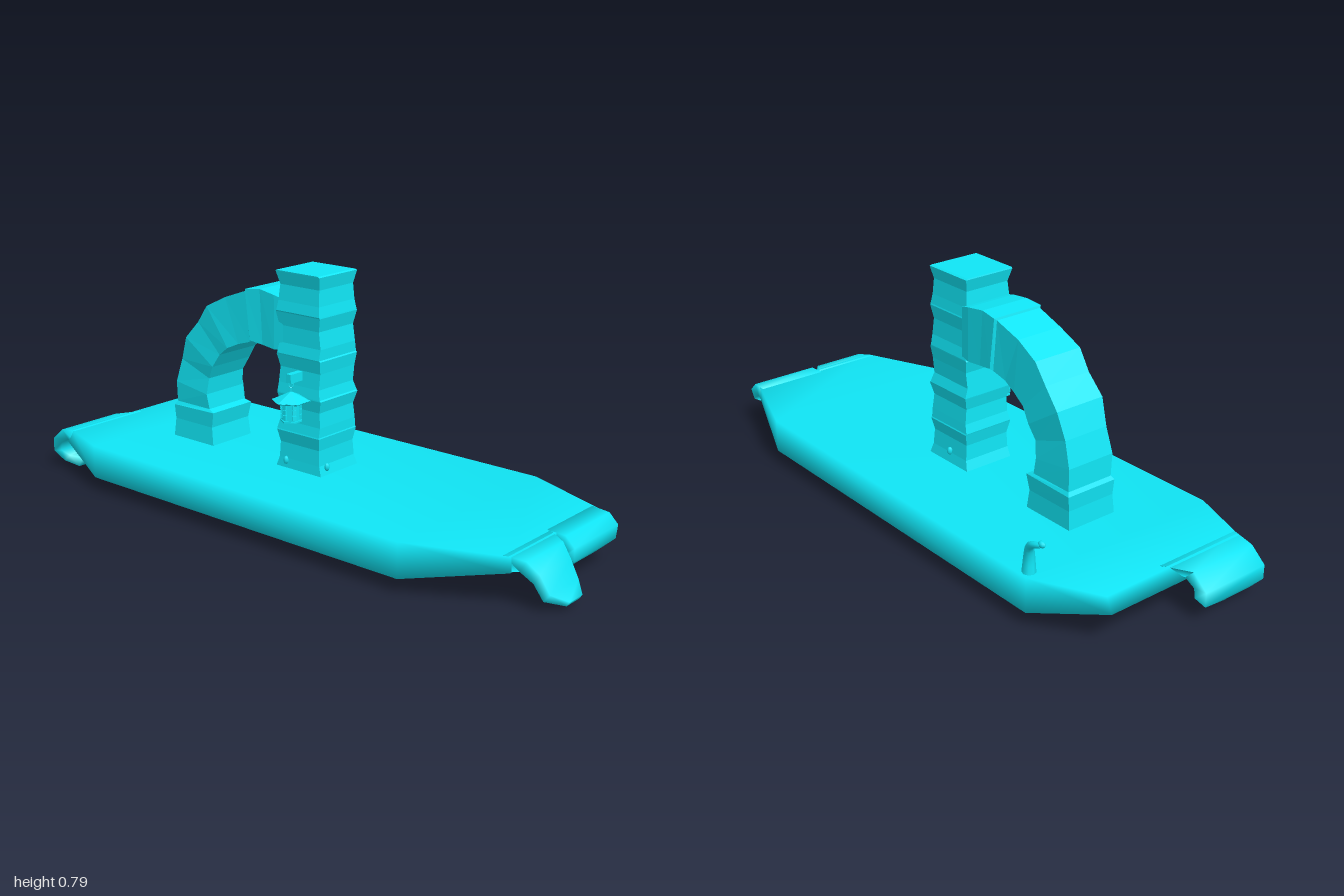
import * as THREE from 'three';

const COLOR = 0x10e5f5;
const smooth = new THREE.MeshStandardMaterial({ color: COLOR, side: THREE.DoubleSide });
const flat = new THREE.MeshStandardMaterial({ color: COLOR, flatShading: true, side: THREE.DoubleSide });

// Four-sided loft; each station is [outerX, outerY, innerX, innerY, zBack, zFront]
function loft(stations) {
  const pos = [], idx = [], n = stations.length;
  for (const [ox, oy, ix, iy, z0, z1] of stations)
    pos.push(ox, oy, z0, ox, oy, z1, ix, iy, z1, ix, iy, z0);
  for (let i = 0; i < n - 1; i++)
    for (let k = 0; k < 4; k++) {
      const a = i * 4 + k, b = i * 4 + (k + 1) % 4;
      idx.push(a, b, b + 4, a, b + 4, a + 4);
    }
  const e = (n - 1) * 4;
  idx.push(2, 1, 0, 3, 2, 0, e, e + 1, e + 2, e, e + 2, e + 3);
  const g = new THREE.BufferGeometry();
  g.setAttribute('position', new THREE.Float32BufferAttribute(pos, 3));
  g.setIndex(idx);
  g.computeVertexNormals();
  return g;
}

// Tube that narrows towards its end
function taperedTube(points, r, endScale) {
  const curve = new THREE.CatmullRomCurve3(points.map(p => new THREE.Vector3(...p)));
  const seg = 12, sides = 8;
  const g = new THREE.TubeGeometry(curve, seg, r, sides);
  const p = g.attributes.position, v = new THREE.Vector3();
  for (let i = 0; i <= seg; i++) {
    const c = curve.getPointAt(i / seg), s = 1 + (endScale - 1) * i / seg;
    for (let j = 0; j <= sides; j++) {
      const k = i * (sides + 1) + j;
      v.fromBufferAttribute(p, k).sub(c).multiplyScalar(s).add(c);
      p.setXYZ(k, v.x, v.y, v.z);
    }
  }
  g.computeVertexNormals();
  return g;
}

export function createModel() {
  const model = new THREE.Group();
  const add = (name, geo, mat, x = 0, y = 0, z = 0, parent = model) => {
    const m = new THREE.Mesh(geo, mat);
    m.name = name;
    m.position.set(x, y, z);
    parent.add(m);
    return m;
  };
  let seed = 7;
  const jitter = a => {
    seed = (seed * 16807) % 2147483647;
    return (seed / 2147483647 - 0.5) * 2 * a;
  };

  // Base slab, thinner towards both ends
  add('base', loft([
    [-0.9, 0.157, -0.92, 0.11, -0.24, 0.28],
    [-0.7, 0.16, -0.7, 0.05, -0.35, 0.35],
    [0.57, 0.16, 0.57, 0.05, -0.35, 0.35],
    [0.86, 0.157, 0.86, 0.11, -0.24, 0.23],
  ]), smooth);

  // Drooping flaps at the ends
  add('rightEndFlap', loft([
    [-0.88, 0.04, -0.88, 0.03, 0.19, 0.21],
    [-0.93, 0.005, -0.91, 0.04, 0.19, 0.23],
    [-0.97, 0.025, -0.94, 0.05, 0.15, 0.26],
    [-1.0, 0.06, -0.96, 0.07, 0.04, 0.28],
    [-1.0, 0.105, -0.955, 0.1, 0.04, 0.28],
    [-0.95, 0.148, -0.92, 0.118, 0.04, 0.28],
    [-0.88, 0.159, -0.84, 0.1, -0.02, 0.285],
  ]), smooth);
  add('leftEndFlap', loft([
    [0.84, 0.159, 0.84, 0.11, 0.0, 0.235],
    [0.9, 0.15, 0.88, 0.115, 0.03, 0.215],
    [0.935, 0.115, 0.915, 0.085, 0.045, 0.2],
    [0.965, 0.065, 0.945, 0.04, 0.05, 0.195],
    [1.0, 0.04, 0.99, 0.025, 0.085, 0.15],
  ]), smooth);
  add('leftEndLip', loft([
    [0.83, 0.159, 0.83, 0.1, -0.245, 0.0],
    [0.89, 0.155, 0.87, 0.115, -0.24, 0.0],
    [0.92, 0.125, 0.89, 0.105, -0.24, 0.0],
    [0.92, 0.085, 0.89, 0.09, -0.23, 0.0],
    [0.89, 0.055, 0.87, 0.075, -0.17, -0.05],
    [0.84, 0.045, 0.84, 0.055, -0.13, -0.09],
  ]), smooth);

  // Rough square pillar: each block is pinched between its joints
  const pillar = [];
  const joints = [0.16, 0.285, 0.405, 0.53, 0.665, 0.79];
  for (let i = 0; i < joints.length - 1; i++) {
    const h = joints[i + 1] - joints[i];
    [[0, 0], [0.25, 0.006], [0.65, 0.008], [0.97, 0]].forEach(([t, pinch]) => {
      const y = joints[i] + h * t;
      pillar.push([-0.112 + pinch + jitter(0.004), y, 0.066 - pinch + jitter(0.004), y,
        -0.083 + pinch + jitter(0.003), 0.094 - pinch + jitter(0.003)]);
    });
  }
  pillar.push([-0.11, 0.79, 0.06, 0.79, -0.077, 0.094]);
  add('pillar', loft(pillar), flat);

  // Half arch made of blocks, springing from the base to the pillar
  const arch = [
    [-0.585, 0.155, -0.4, 0.155, 0], [-0.58, 0.22, -0.41, 0.22, 0.005],
    [-0.583, 0.268, -0.4, 0.272, 0], [-0.575, 0.28, -0.425, 0.28, 0.006],
    [-0.573, 0.35, -0.432, 0.33, 0.002], [-0.55, 0.43, -0.425, 0.385, 0.008],
    [-0.52, 0.51, -0.4, 0.43, 0.002], [-0.465, 0.57, -0.37, 0.475, 0.008],
    [-0.42, 0.63, -0.33, 0.505, 0.003], [-0.34, 0.67, -0.285, 0.525, 0.008],
    [-0.25, 0.703, -0.235, 0.54, 0.005], [-0.248, 0.71, -0.23, 0.547, 0],
    [-0.19, 0.717, -0.18, 0.54, 0.004], [-0.125, 0.708, -0.125, 0.535, 0],
    [-0.09, 0.7, -0.09, 0.54, 0.004],
  ].map(([ox, oy, ix, iy, p]) =>
    [ox, oy, ix, iy, -0.088 + p + jitter(0.003), 0.09 - p + jitter(0.003)]);
  add('arch', loft(arch), flat);

  // Hanging lantern
  const lantern = new THREE.Group();
  lantern.name = 'lantern';
  lantern.position.set(-0.02, 0, 0.128);
  model.add(lantern);
  add('bracket', new THREE.BoxGeometry(0.02, 0.028, 0.06), flat, 0, 0.47, -0.018, lantern);
  const ring = add('hangingRing', new THREE.TorusGeometry(0.007, 0.002, 5, 10), flat, 0, 0.447, 0, lantern);
  ring.rotation.y = Math.PI / 4;
  add('hook', new THREE.CylinderGeometry(0.002, 0.002, 0.018, 5), flat, 0, 0.432, 0, lantern);
  add('roof', new THREE.CylinderGeometry(0.004, 0.061, 0.027, 6), flat, 0, 0.4135, 0, lantern);
  add('roofRim', new THREE.CylinderGeometry(0.061, 0.052, 0.006, 6), flat, 0, 0.398, 0, lantern);
  add('lampBody', new THREE.CylinderGeometry(0.03, 0.03, 0.058, 6), flat, 0, 0.365, 0, lantern);
  add('lampFoot', new THREE.CylinderGeometry(0.034, 0.034, 0.005, 6), flat, 0, 0.336, 0, lantern);
  for (let i = 0; i < 6; i++)
    for (let j = 0; j < 3; j++) {
      const a = i * Math.PI / 3;
      const post = add('cornerBlock', new THREE.BoxGeometry(0.012, 0.015, 0.008), flat,
        Math.sin(a) * 0.029, 0.35 + j * 0.017, Math.cos(a) * 0.029, lantern);
      post.rotation.y = a;
    }

  // Curled sprout at the back edge
  add('sprout', taperedTube([
    [-0.68, 0.155, -0.322], [-0.68, 0.205, -0.322], [-0.69, 0.245, -0.33],
    [-0.715, 0.268, -0.343], [-0.745, 0.278, -0.34],
  ], 0.021, 0.35), smooth);
  const bud = add('sproutBud', new THREE.SphereGeometry(0.011, 8, 6), smooth, -0.746, 0.281, -0.338);
  bud.scale.set(1.2, 0.9, 0.8);

  // Small shoots at the foot of the pillar
  [[-0.075, 0.185, 0.092], [0.067, 0.185, 0.06], [-0.03, 0.2, -0.084]].forEach(([x, y, z]) => {
    const shoot = add('pillarShoot', new THREE.SphereGeometry(0.009, 6, 5), smooth, x, y, z);
    shoot.scale.y = 1.5;
  });

  return model;
}
